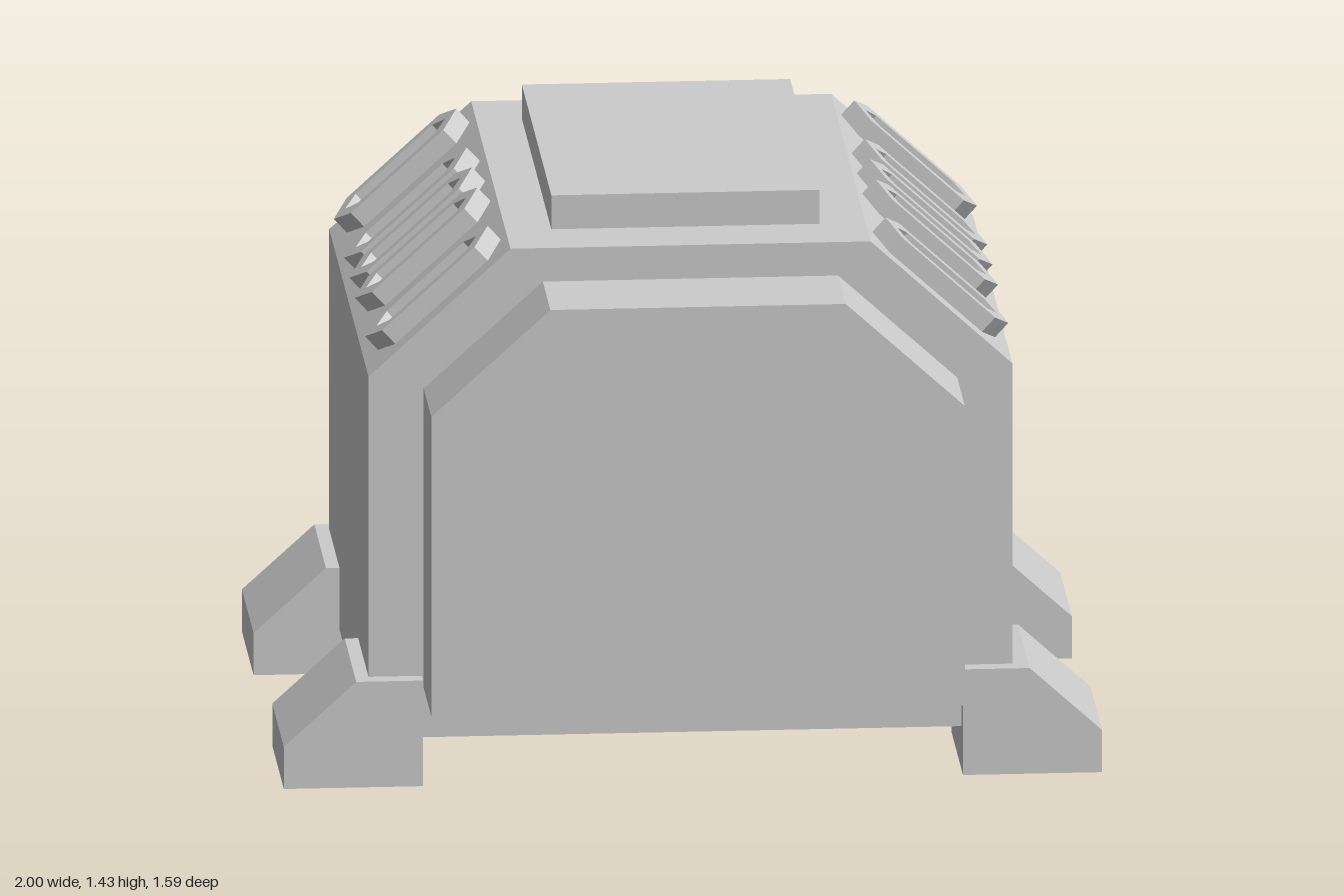
import * as THREE from 'three';

const material = new THREE.MeshStandardMaterial({ color: 0xcccccc, flatShading: true });
const points = (list) => list.map(([x, y]) => new THREE.Vector2(x, y));

// Extrudes an x-y outline from z0 to z1
function slab(name, outline, z0, z1) {
  const geometry = new THREE.ExtrudeGeometry(new THREE.Shape(points(outline)), {
    depth: z1 - z0, bevelEnabled: false,
  });
  geometry.translate(0, 0, z0);
  const mesh = new THREE.Mesh(geometry, material);
  mesh.name = name;
  return mesh;
}

// Box outline whose two upper corners are cut off
const hull = (half, bottom, shoulder, roofHalf, top) => [
  [-half, bottom], [half, bottom], [half, shoulder],
  [roofHalf, top], [-roofHalf, top], [-half, shoulder],
];

// Long hexagon, pointed at both ends
const hexagon = (halfWidth, halfLength, point) => points([
  [0, -halfLength], [halfWidth, point - halfLength], [halfWidth, halfLength - point],
  [0, halfLength], [-halfWidth, halfLength - point], [-halfWidth, point - halfLength],
]);

export function createModel() {
  const model = new THREE.Group();
  model.name = 'bunker';

  // Main hull, front block and roof plate
  const body = new THREE.Group();
  body.name = 'body';
  body.position.x = -0.003;
  model.add(body);
  body.add(slab('hull', hull(0.787, 0.112, 1.03, 0.44, 1.347), -0.75, 0.546));
  body.add(slab('frontBlock', hull(0.652, 0.237, 0.997, 0.361, 1.262), 0.546, 0.796));
  const roof = new THREE.Mesh(new THREE.BoxGeometry(0.656, 0.086, 0.974), material);
  roof.name = 'roofPlate';
  roof.position.set(0, 1.39, -0.104);
  body.add(roof);

  // Hollow hexagonal vent frame
  const frame = new THREE.Shape(hexagon(0.067, 0.203, 0.05));
  frame.holes.push(new THREE.Path(hexagon(0.039, 0.165, 0.038)));
  const ventGeometry = new THREE.ExtrudeGeometry(frame, { depth: 0.048, bevelEnabled: false });

  for (const side of [1, -1]) {
    const label = side > 0 ? 'left' : 'right';

    // Vents standing on the sloped side
    const up = new THREE.Vector3(-0.347 * side, 0.317, 0).normalize();
    const out = new THREE.Vector3(0.317 * side, 0.347, 0).normalize();
    const across = new THREE.Vector3().crossVectors(up, out);
    const basis = new THREE.Matrix4().makeBasis(across, up, out);
    for (const z of [0.418, 0.081, -0.096, -0.272, -0.612]) {
      const vent = new THREE.Mesh(ventGeometry, material);
      vent.name = label + 'Vent';
      vent.quaternion.setFromRotationMatrix(basis);
      vent.position.set(0.604 * side, 1.197, z);
      body.add(vent);
    }

    // Corner feet with a sloped outer edge
    const foot = [[0.66, 0], [1, 0], [1, 0.107], [0.823, 0.268], [0.66, 0.268]]
      .map(([x, y]) => [x * side, y]);
    model.add(slab(label + 'FrontFoot', foot, 0.206, 0.588));
    model.add(slab(label + 'BackFoot', foot, -0.796, -0.412));
  }
  return model;
}
